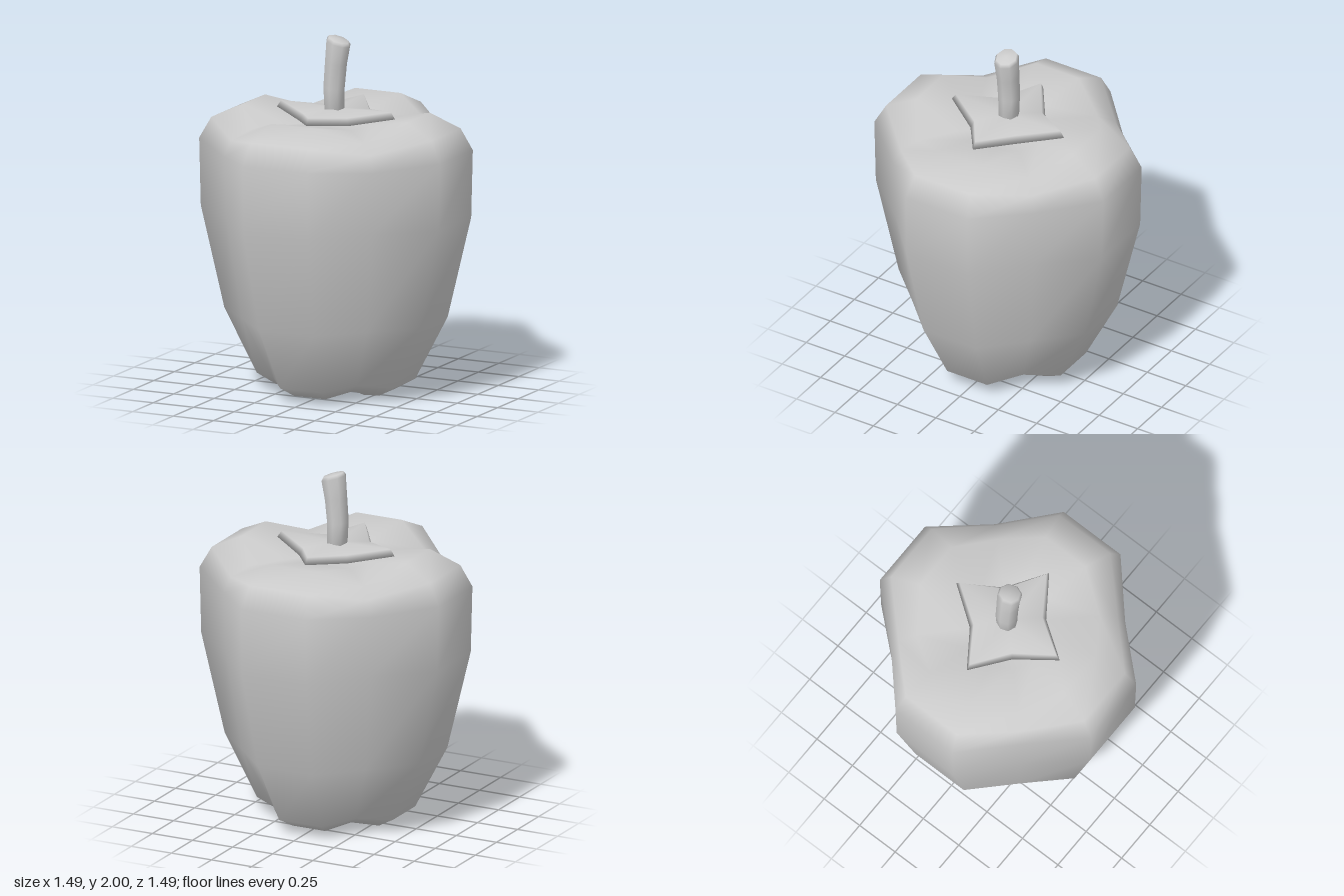
import * as THREE from 'three';

const material = new THREE.MeshStandardMaterial({ color: 0xcccccc });

// Smooth closed skin over equal-length rings, listed bottom to top, with a centre point at each end
function loft(name, rings, bottom, top) {
  const n = rings[0].length, last = (rings.length - 1) * n;
  const pos = [...rings.flat(), bottom, top].flat();
  const b = rings.length * n, t = b + 1, index = [];
  for (let i = 0; i < n; i++) {
    const j = (i + 1) % n;
    for (let o = 0; o < last; o += n) {
      index.push(o + i, o + n + i, o + j, o + j, o + n + i, o + n + j);
    }
    index.push(i, j, b, last + i, t, last + j);
  }
  const geo = new THREE.BufferGeometry();
  geo.setAttribute('position', new THREE.Float32BufferAttribute(pos, 3));
  geo.setIndex(index);
  geo.computeVertexNormals();
  const mesh = new THREE.Mesh(geo, material);
  mesh.name = name;
  return mesh;
}

// Repeat a quarter of a ring four times around the y axis
function fourfold(quarter) {
  const ring = [];
  for (let k = 0; k < 4; k++) {
    for (const [x, y, z] of quarter) {
      ring.push([[x, y, z], [-z, y, x], [-x, y, -z], [z, y, -x]][k]);
    }
  }
  return ring;
}

export function createModel() {
  const group = new THREE.Group();
  group.name = 'bellPepper';

  // Four-lobed body: lobe reach, lobe half width, lobe y, valley x and z, valley y
  const rows = [
    [0.2, 0.05, 0, 0.13, 0.05],
    [0.32, 0.1, 0.02, 0.2, 0.05],
    [0.425, 0.13, 0.08, 0.26, 0.1],
    [0.605, 0.17, 0.44, 0.385, 0.44],
    [0.735, 0.2, 1.01, 0.45, 1.01],
    [0.745, 0.2, 1.39, 0.46, 1.36],
    [0.68, 0.18, 1.51, 0.43, 1.45],
    [0.51, 0.14, 1.59, 0.36, 1.5],
    [0.25, 0.08, 1.535, 0.19, 1.52],
  ];
  group.add(loft('body',
    rows.map(([r, w, y, d, yv]) => fourfold([[r, y, -w], [r, y, w], [d, yv, d]])),
    [0, 0.05, 0], [0, 1.52, 0]));

  // Four-pointed calyx: tip reach, tip y, notch x and z, notch y
  const star = [[0.365, 1.565, 0.15, 1.535], [0.34, 1.603, 0.135, 1.575]];
  group.add(loft('calyx',
    star.map(([r, y, d, yd]) => fourfold([[r, y, 0], [d, yd, d]])),
    [0, 1.53, 0], [0, 1.595, 0]));

  // Bent stem with a slanted, slightly rounded end: centre x, y, radius, slant
  const sections = [
    [-0.008, 1.56, 0.058, 0],
    [-0.012, 1.71, 0.062, -0.1],
    [0, 1.85, 0.064, -0.2],
    [0.015, 1.965, 0.07, -0.3],
    [0.016, 1.983, 0.058, -0.32],
  ];
  group.add(loft('stem', sections.map(([cx, cy, r, slant]) =>
    Array.from({ length: 8 }, (_, i) => {
      const a = (i / 8) * Math.PI * 2, dx = r * Math.cos(a);
      return [cx + dx, cy + slant * dx, r * Math.sin(a)];
    })), [-0.008, 1.56, 0], [0.016, 1.988, 0]));

  return group;
}
